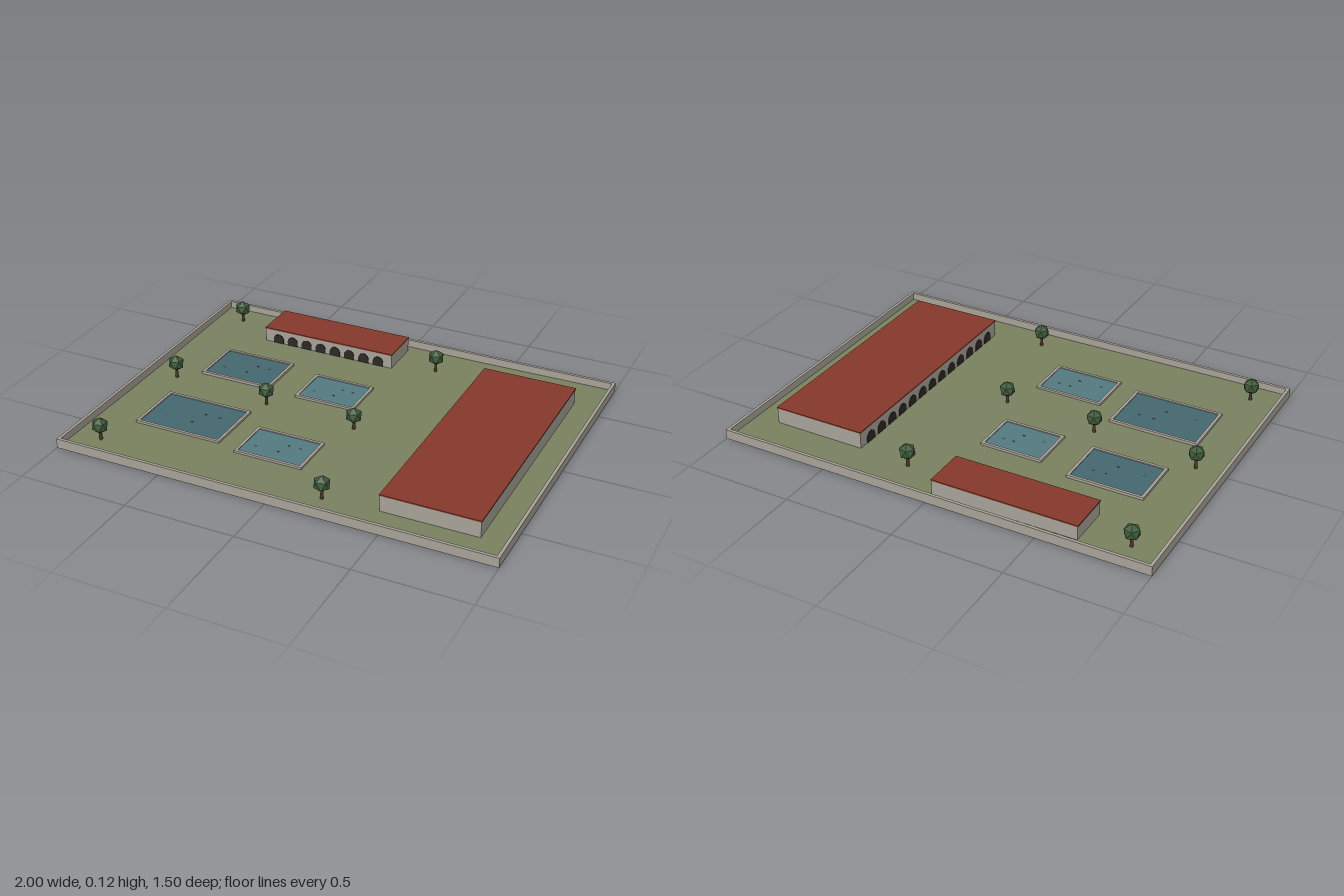
import * as THREE from 'three';

const mat = (color, extra = {}) => {
  const m = new THREE.MeshStandardMaterial(extra);
  m.color.set(color);
  return m;
};
const M = {
  ground: mat(0x7a8260, { side: THREE.DoubleSide }),
  stone: mat(0xa8a298),
  roof: mat(0x85392b),
  arch: mat(0x2c2824),
  deepWater: mat(0x456870),
  water: mat(0x557a82),
  trunk: mat(0x4a3826),
  leaves: mat(0x3f5c3c, { flatShading: true }),
};
const koi = [0xd8d0a8, 0x3c5a40, 0x50604c, 0xb09040].map(c => mat(c));

function add(parent, name, geometry, material, x = 0, y = 0, z = 0) {
  const mesh = new THREE.Mesh(geometry, material);
  mesh.name = name;
  mesh.position.set(x, y, z);
  parent.add(mesh);
  return mesh;
}
function group(parent, name, x = 0, z = 0) {
  const g = new THREE.Group();
  g.name = name;
  g.position.set(x, 0, z);
  parent.add(g);
  return g;
}
// box given by its size, centre and bottom height
const box = (p, name, m, w, h, d, x, y, z) =>
  add(p, name, new THREE.BoxGeometry(w, h, d), m, x, y + h / 2, z);

// Gently rolling lawn
const lawnHeight = (x, z) =>
  0.010 + 0.002 * Math.sin(x * 3.1 + 1.0) * Math.cos(z * 3.6) + 0.001 * Math.sin(x * 2 + z * 4);

function addLawn(parent) {
  const geo = new THREE.PlaneGeometry(1.98, 1.48, 32, 24).rotateX(-Math.PI / 2);
  const p = geo.attributes.position;
  for (let i = 0; i < p.count; i++) p.setY(i, lawnHeight(p.getX(i), p.getZ(i)));
  geo.computeVertexNormals();
  add(parent, 'lawn', geo, M.ground);
}

// Low wall on all four sides
function addWalls(parent) {
  const t = 0.014, h = 0.044;
  for (const s of [-1, 1]) {
    box(parent, s > 0 ? 'frontWall' : 'backWall', M.stone, 2, h, t, 0, 0, s * (0.75 - t / 2));
    box(parent, s > 0 ? 'leftWall' : 'rightWall', M.stone, t, h, 1.5 - 2 * t, s * (1 - t / 2), 0, 0);
  }
}

// Round-topped opening, standing on y = 0 and facing +z
function archGeometry(r, spring) {
  const s = new THREE.Shape();
  s.moveTo(-r, 0);
  s.lineTo(r, 0);
  s.lineTo(r, spring);
  s.absarc(0, spring, r, 0, Math.PI, false);
  s.closePath();
  return new THREE.ExtrudeGeometry(s, { depth: 0.004, bevelEnabled: false, curveSegments: 12 });
}

// Flat-roofed hall with an arcade along its +z side (before turning)
function addHall(parent, name, { x, z, length, depth, height, arches, turn = 0 }) {
  const g = group(parent, name, x, z);
  g.rotation.y = turn;
  const roof = 0.006, base = 0.006;
  box(g, 'hallBody', M.stone, length - 0.004, height - roof - base, depth - 0.004, 0, base, 0);
  box(g, 'hallRoof', M.roof, length, roof, depth, 0, height - roof, 0);
  const step = length / (arches + 0.9);
  const geo = archGeometry(step * 0.35, 0.02);
  for (let i = 0; i < arches; i++)
    add(g, 'archOpening', geo, M.arch, (i - (arches - 1) / 2) * step, 0.008, depth / 2 - 0.003);
}

// Pond: stone rim, water and a few fish
function addPond(parent, x, z, w, d, water) {
  const g = group(parent, 'pond', x, z);
  const t = 0.013, h = 0.013, y = 0.008;
  for (const s of [-1, 1]) {
    box(g, 'pondRim', M.stone, w, h, t, 0, y, s * (d - t) / 2);
    box(g, 'pondRim', M.stone, t, h, d - 2 * t, s * (w - t) / 2, y, 0);
  }
  box(g, 'pondWater', water, w - 2 * t, 0.009, d - 2 * t, 0, y, 0);
  const spots = [[-0.3, 0.14], [0.04, 0.15], [0.1, -0.13], [0.27, -0.13]];
  spots.forEach(([u, v], i) => {
    const fish = add(g, 'fish', new THREE.SphereGeometry(0.005, 8, 6), koi[i], u * w, y + 0.0095, v * d);
    fish.scale.set(1.2, 0.5, 0.5);
  });
}

// Small tree: tapered trunk and a faceted crown with a corner pointing up
function addTree(parent, x, z) {
  const g = group(parent, 'tree', x, z);
  add(g, 'treeTrunk', new THREE.CylinderGeometry(0.006, 0.008, 0.05, 8), M.trunk, 0, 0.032, 0);
  const crown = new THREE.IcosahedronGeometry(0.038, 0);
  crown.rotateZ(Math.atan(2 / (1 + Math.sqrt(5))));
  add(g, 'treeCrown', crown, M.leaves, 0, 0.08, 0);
}

export function createModel() {
  const model = new THREE.Group();
  model.name = 'walledGarden';
  addLawn(model);
  addWalls(model);

  addHall(model, 'smallHall', { x: -0.33, z: -0.597, length: 0.664, depth: 0.2, height: 0.08, arches: 8 });
  addHall(model, 'largeHall', {
    x: 0.657, z: 0.03, length: 1.16, depth: 0.434, height: 0.088, arches: 13, turn: -Math.PI / 2,
  });

  addPond(model, -0.595, -0.2, 0.35, 0.25, M.deepWater);
  addPond(model, -0.595, 0.295, 0.415, 0.285, M.deepWater);
  addPond(model, -0.135, -0.17, 0.29, 0.22, M.water);
  addPond(model, -0.135, 0.363, 0.32, 0.22, M.water);

  const trees = [[-0.86, -0.63], [-0.86, 0], [-0.86, 0.625], [0.196, -0.565],
    [0.196, 0.625], [-0.366, 0.048], [0.08, 0.08]];
  for (const [x, z] of trees) addTree(model, x, z);
  return model;
}
